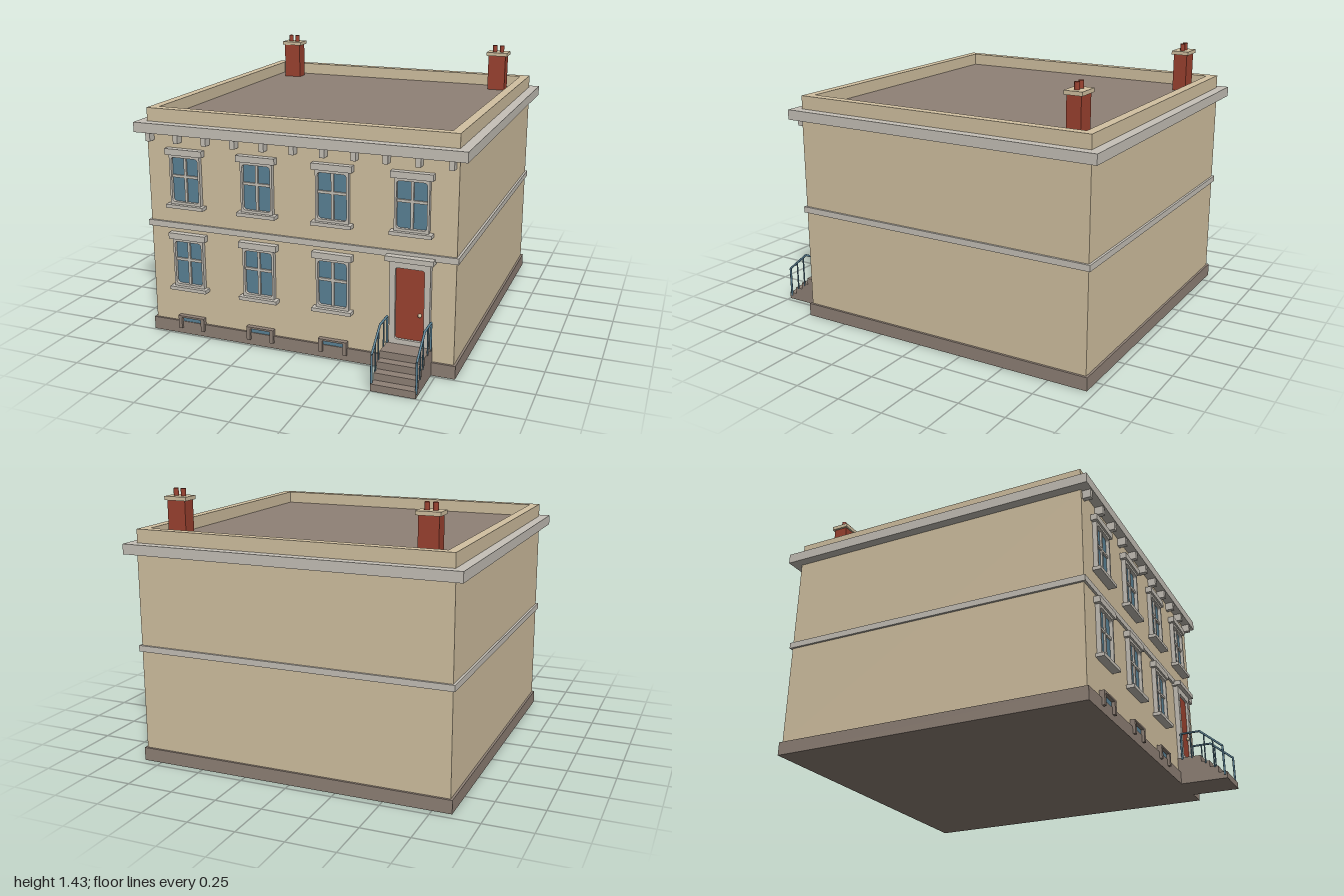
import * as THREE from 'three';

const material = (name, color) => {
  const m = new THREE.MeshStandardMaterial({ color });
  m.name = name;
  return m;
};

export function createModel() {
  const wall = material('cream render', 0xd2c1a1);
  const trim = material('pale stone trim', 0xc6c1b8);
  const stone = material('grey brown stone', 0x8f8176);
  const brick = material('red brick', 0x9c4230);
  const glass = material('blue glass and ironwork', 0x5a8296);

  const model = new THREE.Group();
  model.name = 'townhouse';
  const CZ = -0.11; // centre of the house in z
  const FRONT = 0.728; // front wall plane

  const group = (name, parent = model) => {
    const g = new THREE.Group();
    g.name = name;
    parent.add(g);
    return g;
  };
  const add = (parent, name, geometry, mat) => {
    const mesh = new THREE.Mesh(geometry, mat);
    mesh.name = name;
    parent.add(mesh);
    return mesh;
  };
  // Box given by its extents
  const box = (parent, name, mat, x0, x1, y0, y1, z0, z1) => {
    const mesh = add(parent, name, new THREE.BoxGeometry(x1 - x0, y1 - y0, z1 - z0), mat);
    mesh.position.set((x0 + x1) / 2, (y0 + y1) / 2, (z0 + z1) / 2);
    return mesh;
  };
  // Square layer centred on the house
  const layer = (name, mat, half, y0, y1) =>
    box(model, name, mat, -half, half, y0, y1, CZ - half, CZ + half);
  // Rectangle with rounded corners
  const roundedRect = (Type, x0, x1, y0, y1, r) => {
    const s = new Type();
    s.moveTo(x0 + r, y0);
    s.lineTo(x1 - r, y0);
    s.quadraticCurveTo(x1, y0, x1, y0 + r);
    s.lineTo(x1, y1 - r);
    s.quadraticCurveTo(x1, y1, x1 - r, y1);
    s.lineTo(x0 + r, y1);
    s.quadraticCurveTo(x0, y1, x0, y1 - r);
    s.lineTo(x0, y0 + r);
    s.quadraticCurveTo(x0, y0, x0 + r, y0);
    return s;
  };
  const rectShape = (x0, x1, y0, y1) => new THREE.Shape([
    new THREE.Vector2(x0, y0), new THREE.Vector2(x1, y0),
    new THREE.Vector2(x1, y1), new THREE.Vector2(x0, y1),
  ]);
  const extrude = (shape, depth) =>
    new THREE.ExtrudeGeometry(shape, { depth, bevelEnabled: false, curveSegments: 4 });
  // Round bar between two points
  const bar = (parent, name, mat, a, b, r) => {
    const mesh = add(parent, name, new THREE.CylinderGeometry(r, r, a.distanceTo(b), 8), mat);
    mesh.position.copy(a).lerp(b, 0.5);
    mesh.quaternion.setFromUnitVectors(new THREE.Vector3(0, 1, 0), b.clone().sub(a).normalize());
    return mesh;
  };

  // Main block
  layer('plinth', stone, 0.85, 0, 0.07);
  layer('walls', wall, 0.838, 0.07, 1.115);
  layer('stringCourse', trim, 0.85, 0.6, 0.632);
  layer('cornice', trim, 0.888, 1.114, 1.167);
  layer('roof', stone, 0.8, 1.165, 1.172);

  // Parapet ring
  const ring = rectShape(-0.836, 0.836, -0.836, 0.836);
  ring.holes.push(rectShape(-0.787, 0.787, -0.787, 0.787));
  const parapet = add(model, 'parapet', extrude(ring, 0.073), wall);
  parapet.rotation.x = -Math.PI / 2;
  parapet.position.set(0, 1.165, CZ);

  // Cornice brackets along the front
  const brackets = group('corniceBrackets');
  for (let i = -5; i <= 5; i++) {
    const x = i * 0.162;
    box(brackets, 'bracket', trim, x - 0.013, x + 0.013, 1.07, 1.116, FRONT - 0.01, 0.772);
  }

  // Sash window, y measured from the bottom of the sill
  const addWindow = (x, y) => {
    const w = group('window');
    w.position.set(x, y, FRONT);
    const frame = rectShape(-0.088, 0.088, 0.018, 0.286);
    frame.holes.push(roundedRect(THREE.Path, -0.077, 0.077, 0.032, 0.27, 0.018));
    add(w, 'frame', extrude(frame, 0.024), trim);
    box(w, 'pane', glass, -0.08, 0.08, 0.028, 0.274, -0.002, 0.006);
    box(w, 'verticalBar', trim, -0.007, 0.007, 0.025, 0.276, 0, 0.016);
    box(w, 'horizontalBar', trim, -0.08, 0.08, 0.162, 0.176, 0, 0.015);
    box(w, 'lintel', trim, -0.107, 0.107, 0.284, 0.317, -0.005, 0.034);
    box(w, 'sill', trim, -0.107, 0.107, 0, 0.019, -0.005, 0.044);
  };
  const columns = [-0.614, -0.205, 0.205, 0.614];
  columns.forEach((x) => addWindow(x, 0.721));
  columns.slice(0, 3).forEach((x) => addWindow(x, 0.262));

  // Basement lights half sunk in the plinth
  columns.slice(0, 3).forEach((x) => {
    const b = group('basementWindow');
    b.position.x = x;
    box(b, 'head', stone, -0.077, 0.077, 0.097, 0.107, FRONT - 0.005, 0.755);
    [-1, 1].forEach((s) => {
      const c = s * 0.067;
      box(b, 'jamb', stone, c - 0.01, c + 0.01, 0.033, 0.098, FRONT - 0.005, 0.754);
    });
    box(b, 'pane', glass, -0.058, 0.058, 0.06, 0.098, FRONT - 0.002, 0.736);
  });

  // Front door with surround and hood
  const DX = 0.613;
  const door = group('frontDoor');
  door.position.set(DX, 0, FRONT);
  const surround = rectShape(-0.104, 0.104, 0.148, 0.592);
  surround.holes.push(roundedRect(THREE.Path, -0.074, 0.074, 0.176, 0.552, 0.014));
  add(door, 'doorSurround', extrude(surround, 0.028), trim);
  box(door, 'doorLeaf', brick, -0.08, 0.08, 0.17, 0.556, -0.002, 0.014);
  box(door, 'hood', trim, -0.123, 0.123, 0.588, 0.614, -0.005, 0.05);
  const knob = add(door, 'doorKnob', new THREE.SphereGeometry(0.01, 12, 8), wall);
  knob.position.set(0.052, 0.314, 0.02);

  // Front steps
  const steps = group('frontSteps');
  [0.998, 0.952, 0.906, 0.861].forEach((z, i) =>
    box(steps, 'step', stone, DX - 0.114, DX + 0.114, i * 0.0375, (i + 1) * 0.0375, 0.7, z));

  // Iron handrails either side of the steps
  [-1, 1].forEach((side) => {
    const rail = group(side < 0 ? 'rightRailing' : 'leftRailing');
    const p = (y, z) => new THREE.Vector3(DX + side * 0.113, y, z);
    const path = [p(0.185, 0.985), p(0.29, 0.863), p(0.29, 0.755)];
    bar(rail, 'slopingRail', glass, path[0], path[1], 0.006);
    bar(rail, 'levelRail', glass, path[1], path[2], 0.006);
    const joint = add(rail, 'railJoint', new THREE.SphereGeometry(0.006, 8, 6), glass);
    joint.position.copy(path[1]);
    bar(rail, 'lowerPost', glass, p(0.02, 0.985), path[0], 0.006);
    bar(rail, 'upperPost', glass, p(0.14, 0.755), path[2], 0.006);
    bar(rail, 'baluster', glass, p(0.07, 0.932), p(0.23, 0.932), 0.004);
    bar(rail, 'baluster', glass, p(0.1, 0.885), p(0.27, 0.885), 0.004);
    bar(rail, 'baluster', glass, p(0.14, 0.808), p(0.288, 0.808), 0.004);
  });

  // Chimneys with paired pots
  [-1, 1].forEach((side) => {
    const c = group('chimney');
    c.position.set(side * 0.669, 0, -0.796);
    box(c, 'stack', brick, -0.051, 0.051, 1.168, 1.377, -0.038, 0.038);
    box(c, 'cap', wall, -0.062, 0.062, 1.376, 1.396, -0.048, 0.048);
    [-0.021, 0.021].forEach((x) => {
      const pot = add(c, 'pot', new THREE.CylinderGeometry(0.013, 0.013, 0.04, 16), brick);
      pot.position.set(x, 1.414, 0);
    });
  });

  return model;
}
